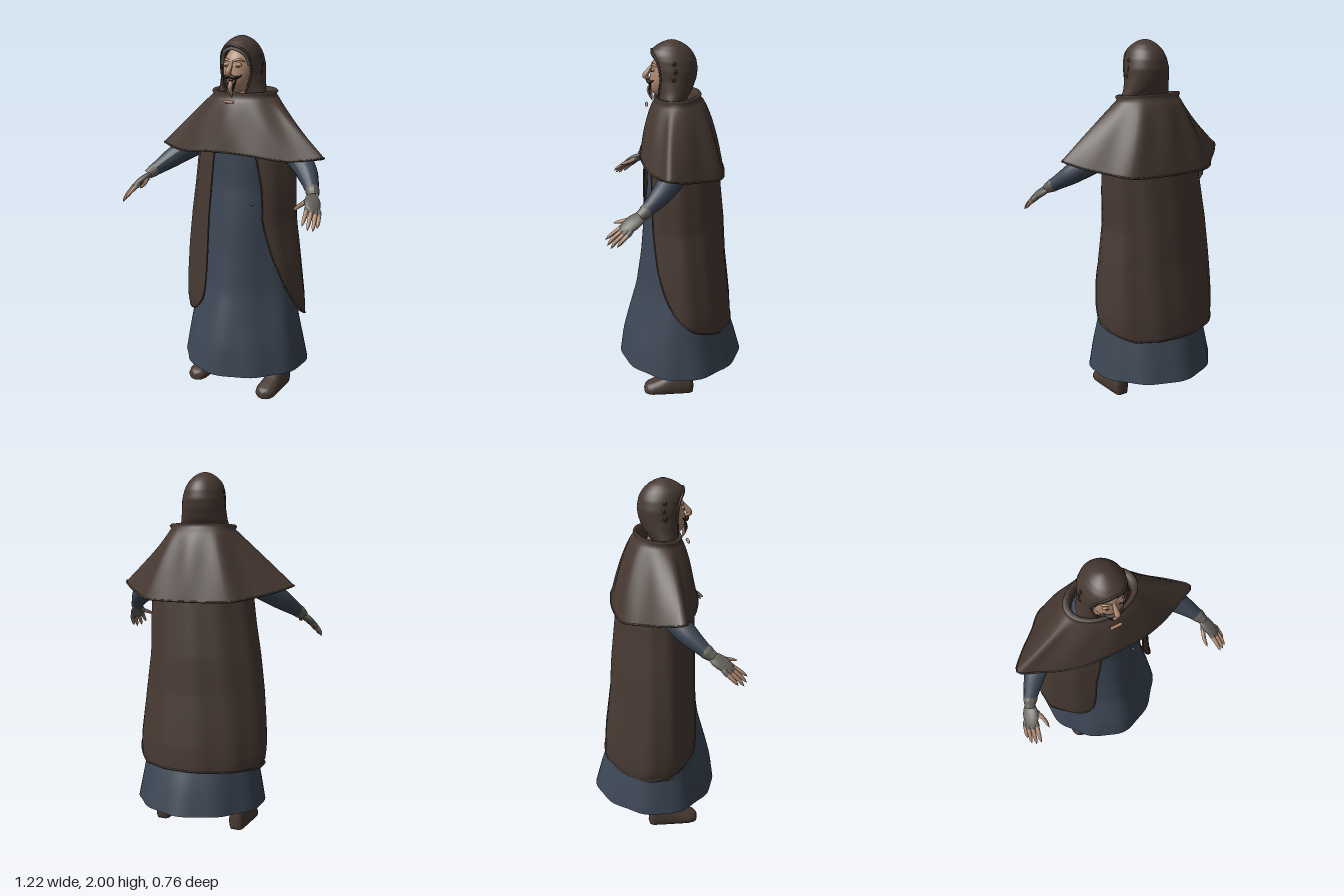
import * as THREE from 'three';
import { mergeVertices } from 'three/addons/utils/BufferGeometryUtils.js';

const mat = (name, color, side = THREE.FrontSide) => {
  const m = new THREE.MeshStandardMaterial({ color, side });
  m.name = name;
  return m;
};
const V = (x, y, z) => new THREE.Vector3(x, y, z);
const rad = THREE.MathUtils.degToRad;

// Linear lookup in rows [key, a, b, ...] with ascending keys
function at(table, k) {
  let i = 1;
  while (i < table.length - 1 && table[i][0] < k) i++;
  const [p, q] = [table[i - 1], table[i]];
  const t = THREE.MathUtils.clamp((k - p[0]) / (q[0] - p[0]), 0, 1);
  return p.slice(1).map((n, j) => n + (q[j + 1] - n) * t);
}

// Smooth surface from fn(u, v) -> Vector3
function sheet(fn, nu, nv) {
  const pos = [], idx = [];
  for (let j = 0; j <= nv; j++)
    for (let i = 0; i <= nu; i++) pos.push(...fn(i / nu, j / nv).toArray());
  for (let j = 0; j < nv; j++)
    for (let i = 0; i < nu; i++) {
      const a = j * (nu + 1) + i, c = a + nu + 1;
      idx.push(a, c, a + 1, a + 1, c, c + 1);
    }
  let g = new THREE.BufferGeometry();
  g.setAttribute('position', new THREE.Float32BufferAttribute(pos, 3));
  g.setIndex(idx);
  g = mergeVertices(g, 1e-5);
  g.computeVertexNormals();
  return g;
}

// Tapered tube through points; radii are spread evenly along it
function limb(points, radii, n = 14, sides = 12) {
  const curve = new THREE.CatmullRomCurve3(points);
  const g = new THREE.TubeGeometry(curve, n, 1, sides);
  const p = g.attributes.position, v = V(0, 0, 0);
  const table = radii.map((r, i) => [i / (radii.length - 1), r]);
  for (let i = 0; i < p.count; i++) {
    const u = Math.floor(i / (sides + 1)) / n, c = curve.getPointAt(u);
    v.fromBufferAttribute(p, i).sub(c).multiplyScalar(at(table, u)[0]).add(c);
    p.setXYZ(i, v.x, v.y, v.z);
  }
  g.computeVertexNormals();
  return g;
}

export function createModel() {
  const root = new THREE.Group();
  root.name = 'robedFigure';
  const brown = mat('brownCloth', 0x473932, THREE.DoubleSide);
  const blue = mat('blueCloth', 0x3c4654, THREE.DoubleSide);
  const grey = mat('greyWool', 0x66635c);
  const skin = mat('skin', 0xb08a72);
  const hair = mat('darkHair', 0x2b221e);
  const add = (name, geo, m, parent = root) => {
    const mesh = new THREE.Mesh(geo, m);
    mesh.name = name;
    parent.add(mesh);
    return mesh;
  };

  // Robe: y, half width, front z, back z, flattening of the front corners
  const robe = [[0.15, 0.37, 0.335, -0.375, 0.04], [0.3, 0.345, 0.315, -0.335, 0.07], [0.42, 0.325, 0.285, -0.295, 0.11],
    [0.6, 0.29, 0.235, -0.27, 0.115], [0.8, 0.26, 0.205, -0.245, 0.08], [1, 0.235, 0.188, -0.22, 0.05],
    [1.2, 0.225, 0.165, -0.2, 0.03], [1.4, 0.25, 0.165, -0.19, 0], [1.55, 0.2, 0.14, -0.16, 0], [1.66, 0.1, 0.08, -0.09, 0]];
  add('robe', sheet((u, v) => {
    const y = 1.66 - 1.51 * v, th = u * Math.PI * 2;
    const [w, f, b, d] = at(robe, y);
    const flat = Math.cos(th) > 0 ? d : 0.035 * v;
    const k = 1 + 0.015 * v * v * Math.cos(10 * th) - flat * Math.sin(2 * th) ** 2;
    return V(w * k * Math.sin(th), y, (f + b) / 2 + k * (f - b) / 2 * Math.cos(th));
  }, 64, 36), blue);
  add('robeStud', new THREE.SphereGeometry(0.008, 10, 8), grey).position.set(0.13, 1.11, 0.142);

  // Open cloak: y, right half width, left half width, front z, back z, opening angles right and left
  const cloak = [[0.38, 0.38, 0.35, 0.215, -0.318, 85, 140], [0.41, 0.385, 0.352, 0.218, -0.318, 58, 122],
    [0.45, 0.39, 0.355, 0.222, -0.316, 36, 98], [0.52, 0.39, 0.355, 0.226, -0.312, 26, 80],
    [0.62, 0.385, 0.345, 0.222, -0.3, 22, 66], [0.8, 0.37, 0.325, 0.212, -0.278, 21, 52],
    [1, 0.345, 0.297, 0.205, -0.265, 21, 43], [1.2, 0.312, 0.298, 0.198, -0.243, 19, 41],
    [1.38, 0.29, 0.29, 0.185, -0.225, 17, 34], [1.56, 0.2, 0.2, 0.15, -0.19, 17, 30]];
  const cloakPoint = (u, y) => {
    const [wr, wl, f, b, ar, al] = at(cloak, y);
    const th = rad(al + (360 - ar - al) * u);
    const k = 1 + 0.014 * Math.cos(11 * th + 2 * y) - 0.025 * Math.sin(2 * th) ** 2;
    const s = Math.sin(th);
    return V((s > 0 ? wl : wr) * k * s, y, (f + b) / 2 + k * (f - b) / 2 * Math.cos(th));
  };
  add('cloak', sheet((u, v) => cloakPoint(u, 1.56 - 1.17 * v), 64, 48), brown);
  const seam = [];
  for (let i = 0; i <= 16; i++) seam.push(cloakPoint(1, 1.5 - 1.11 * i / 16));
  for (let i = 1; i < 12; i++) seam.push(cloakPoint(1 - i / 12, 0.39));
  for (let i = 0; i <= 16; i++) seam.push(cloakPoint(0, 0.39 + 1.11 * i / 16));
  add('cloakSeam', new THREE.TubeGeometry(new THREE.CatmullRomCurve3(seam), 120, 0.005, 6), brown);

  // Shoulder cape: half of the hem, front to back, mirrored
  const half = [[0, 1.39, 0.2], [0.15, 1.386, 0.192], [0.3, 1.368, 0.152], [0.42, 1.372, 0.1], [0.51, 1.388, 0.058],
    [0.45, 1.36, -0.03], [0.34, 1.33, -0.135], [0.25, 1.312, -0.225], [0.12, 1.308, -0.25], [0, 1.308, -0.256]];
  const hemPts = half.map(p => V(...p));
  half.slice(1, -1).reverse().forEach(([x, y, z]) => hemPts.push(V(-x, y, z)));
  const hem = new THREE.CatmullRomCurve3(hemPts, true);
  // Rolled collar, from the inside out: radius x, radius z, y
  const collar = [[0.152, 0.1, 1.63], [0.156, 0.104, 1.685], [0.163, 0.11, 1.71], [0.188, 0.124, 1.713],
    [0.196, 0.129, 1.703], [0.186, 0.122, 1.69]];
  add('shoulderCape', sheet((u, v) => {
    const j = Math.round(v * 25), th = u * Math.PI * 2;
    const [rx, rz, y] = collar[Math.min(j, 5)];
    const top = V(rx * Math.sin(th), y - 0.01 * Math.cos(th), -0.003 + rz * Math.cos(th));
    if (j <= 5) return top;
    const t = (j - 5) / 20, h = hem.getPoint(u);
    const wave = 0.005 * Math.sin(t * Math.PI) * Math.cos(9 * th);
    return V(top.x + (h.x - top.x) * Math.pow(t, 1.02), top.y + (h.y - top.y) * t,
      top.z + (h.z - top.z) * Math.pow(t, 0.65) + wave);
  }, 72, 25), brown);
  add('capeHem', new THREE.TubeGeometry(hem, 96, 0.005, 6, true), brown);
  add('clasp', new THREE.CapsuleGeometry(0.008, 0.048, 4, 8).rotateZ(Math.PI / 2), skin).position.set(0, 1.657, 0.162);

  // Hood: y, half width, front z, back z, opening half angle
  const hood = [[1.66, 0.145, 0.09, -0.025, 15], [1.7, 0.145, 0.105, -0.055, 24], [1.74, 0.133, 0.113, -0.082, 36],
    [1.8, 0.123, 0.125, -0.104, 48], [1.85, 0.121, 0.136, -0.111, 50], [1.9, 0.111, 0.143, -0.102, 47],
    [1.925, 0.101, 0.144, -0.09, 39], [1.942, 0.092, 0.138, -0.079, 22], [1.95, 0.087, 0.132, -0.072, 0],
    [1.972, 0.066, 0.104, -0.048, 0], [1.988, 0.042, 0.073, -0.018, 0], [1.997, 0.02, 0.046, 0.006, 0], [2, 0, 0.026, 0.026, 0]];
  const hoodPoint = (u, y) => {
    const [w, f, b, a] = at(hood, y);
    const th = rad(a + (360 - 2 * a) * u);
    return V(w * Math.sin(th), y, (f + b) / 2 + (f - b) / 2 * Math.cos(th));
  };
  add('hood', sheet((u, v) => hoodPoint(u, 2 - 0.34 * Math.pow(v, 1.5)), 48, 44), brown);
  const edgeYs = [1.68, 1.74, 1.8, 1.85, 1.9, 1.925, 1.942];
  const arch = ys => new THREE.CatmullRomCurve3([...ys.map(y => hoodPoint(0, y)), hoodPoint(0, 1.95),
    ...[...ys].reverse().map(y => hoodPoint(1, y))]);
  add('hoodRim', new THREE.TubeGeometry(arch(edgeYs), 60, 0.006, 6), brown);
  const coif = new THREE.TubeGeometry(arch(edgeYs.slice(3)), 50, 0.011, 6);
  coif.translate(0, -1.83, 0).scale(0.9, 0.86, 0.96).translate(0, 1.83, 0);
  add('coif', coif, grey);
  for (const s of [1, -1])
    for (const [y, z] of [[1.888, 0.018], [1.85, 0.012], [1.812, 0.02]])
      add('hoodStitch', new THREE.SphereGeometry(1, 10, 8).scale(0.005, 0.016, 0.011), hair)
        .position.set(s * at(hood, y)[0] * 0.985, y, z);

  // Head with a narrowing jaw
  const head = new THREE.Group();
  head.name = 'head';
  root.add(head);
  const face = new THREE.SphereGeometry(1, 32, 24);
  const fp = face.attributes.position;
  for (let i = 0; i < fp.count; i++) {
    const y = fp.getY(i), jaw = Math.max(0, -y);
    fp.setXYZ(i, fp.getX(i) * 0.09 * (1 - 0.15 * jaw), 1.82 + y * 0.122, 0.045 + fp.getZ(i) * 0.095 + 0.03 * jaw);
  }
  face.computeVertexNormals();
  add('face', face, skin, head);
  add('neck', new THREE.CylinderGeometry(0.06, 0.075, 0.16, 20), skin, head).position.set(0, 1.68, 0.01);
  add('nose', limb([V(0, 1.872, 0.125), V(0, 1.838, 0.15), V(0, 1.808, 0.168), V(0, 1.795, 0.14)],
    [0.006, 0.012, 0.016, 0.008]), skin, head);
  add('mouth', new THREE.SphereGeometry(1, 14, 10).scale(0.018, 0.008, 0.01), hair, head).position.set(0, 1.772, 0.142);
  add('beard', limb([V(0, 1.77, 0.142), V(0, 1.735, 0.145), V(0, 1.7, 0.138), V(0, 1.675, 0.13)],
    [0.006, 0.016, 0.011, 0]), skin, head);
  for (const s of [1, -1]) {
    add('eyelid', new THREE.SphereGeometry(1, 12, 8).scale(0.02, 0.011, 0.01), skin, head).position.set(s * 0.037, 1.85, 0.124);
    add('eyeLine', limb([V(s * 0.02, 1.842, 0.135), V(s * 0.037, 1.839, 0.133), V(s * 0.054, 1.843, 0.121)],
      [0, 0.003, 0]), hair, head);
    add('brow', limb([V(s * 0.012, 1.868, 0.132), V(s * 0.04, 1.876, 0.122), V(s * 0.065, 1.866, 0.102)],
      [0.005, 0.007, 0.003]), skin, head);
    add('moustache', limb([V(0, 1.793, 0.156), V(s * 0.025, 1.784, 0.15), V(s * 0.045, 1.787, 0.134), V(s * 0.058, 1.802, 0.116)],
      [0.008, 0.01, 0.006, 0]), hair, head);
    add('goateeEdge', limb([V(s * 0.034, 1.78, 0.14), V(s * 0.02, 1.74, 0.146), V(0, 1.69, 0.14)],
      [0.003, 0.007, 0.005, 0]), hair, head);
  }

  // Finger paths: base, middle, tip
  const fingers = [
    ['indexFinger', [0.535, 1.167, 0.29], [0.546, 1.135, 0.338], [0.552, 1.105, 0.376]],
    ['middleFinger', [0.558, 1.158, 0.288], [0.57, 1.12, 0.333], [0.577, 1.083, 0.367]],
    ['ringFinger', [0.576, 1.15, 0.275], [0.59, 1.112, 0.318], [0.598, 1.075, 0.348]],
    ['littleFinger', [0.585, 1.147, 0.256], [0.6, 1.115, 0.29], [0.606, 1.085, 0.316]],
    ['thumb', [0.506, 1.195, 0.24], [0.487, 1.178, 0.29], [0.482, 1.166, 0.338]]];
  for (const s of [1, -1]) {
    const arm = new THREE.Group();
    arm.name = s > 0 ? 'leftArm' : 'rightArm';
    root.add(arm);
    const P = ([x, y, z]) => V(s * x, y, z);
    add('sleeve', limb([[0.16, 1.49, -0.02], [0.3, 1.405, 0], [0.42, 1.315, 0.075], [0.508, 1.235, 0.17]].map(P),
      [0.08, 0.08, 0.067, 0.054, 0.034], 20, 18), blue, arm);
    add('gloveCuff', limb([[0.497, 1.245, 0.16], [0.512, 1.23, 0.178], [0.527, 1.213, 0.205]].map(P),
      [0.036, 0.037, 0.031, 0.027]), grey, arm);

    // Flattened palm aligned from wrist to knuckles
    const d = P([0.055, -0.075, 0.12]).normalize();
    const w = P([0.8, -0.45, -0.4]);
    w.addScaledVector(d, -w.dot(d)).normalize();
    const palm = new THREE.SphereGeometry(1, 20, 14).scale(0.044, 0.075, 0.02);
    const n = V(0, 0, 0).crossVectors(w, d);
    palm.applyMatrix4(new THREE.Matrix4().makeBasis(w, d, n));
    add('glovePalm', palm, grey, arm).position.copy(P([0.541, 1.188, 0.238]));
    for (const [name, a, b, c] of fingers) {
      const [A, B, C] = [a, b, c].map(P);
      add(name, limb([A, B, C], [0.012, 0.012, 0.011, 0.01, 0.008, 0]), skin, arm);
      add('gloveFinger', limb([P([0.528, 1.203, 0.218]), A, A.clone().lerp(B, 0.2)],
        [0.018, 0.017, 0.015, 0.0135]), grey, arm);
    }
  }

  // Boots: z, half width, height
  const boot = [[-0.09, 0, 0.05], [-0.086, 0.03, 0.11], [-0.065, 0.046, 0.127], [-0.01, 0.052, 0.13], [0.035, 0.054, 0.118],
    [0.1, 0.06, 0.085], [0.15, 0.061, 0.066], [0.18, 0.05, 0.054], [0.194, 0.03, 0.042], [0.2, 0, 0.03]];
  for (const s of [1, -1]) {
    const leg = new THREE.Group();
    leg.name = s > 0 ? 'leftLeg' : 'rightLeg';
    leg.position.x = s * 0.23;
    root.add(leg);
    add('boot', sheet((u, v) => {
      const z = -0.09 + 0.29 * v, [w, h] = at(boot, z), a = -u * Math.PI * 2;
      const y = h * THREE.MathUtils.clamp(0.4 + 0.68 * Math.sin(a), 0, 1);
      return V(w * Math.cos(a) * (1 - 0.1 * y / 0.13), w ? y : h * 0.4, z);
    }, 28, 40), brown, leg);
    add('stocking', new THREE.CylinderGeometry(0.045, 0.038, 0.12, 20), grey, leg).position.set(0, 0.165, -0.025);
    const band = add('ankleBand', new THREE.TorusGeometry(0.038, 0.006, 8, 20), grey, leg);
    band.rotation.x = Math.PI / 2;
    band.position.set(0, 0.133, -0.025);
  }
  return root;
}
